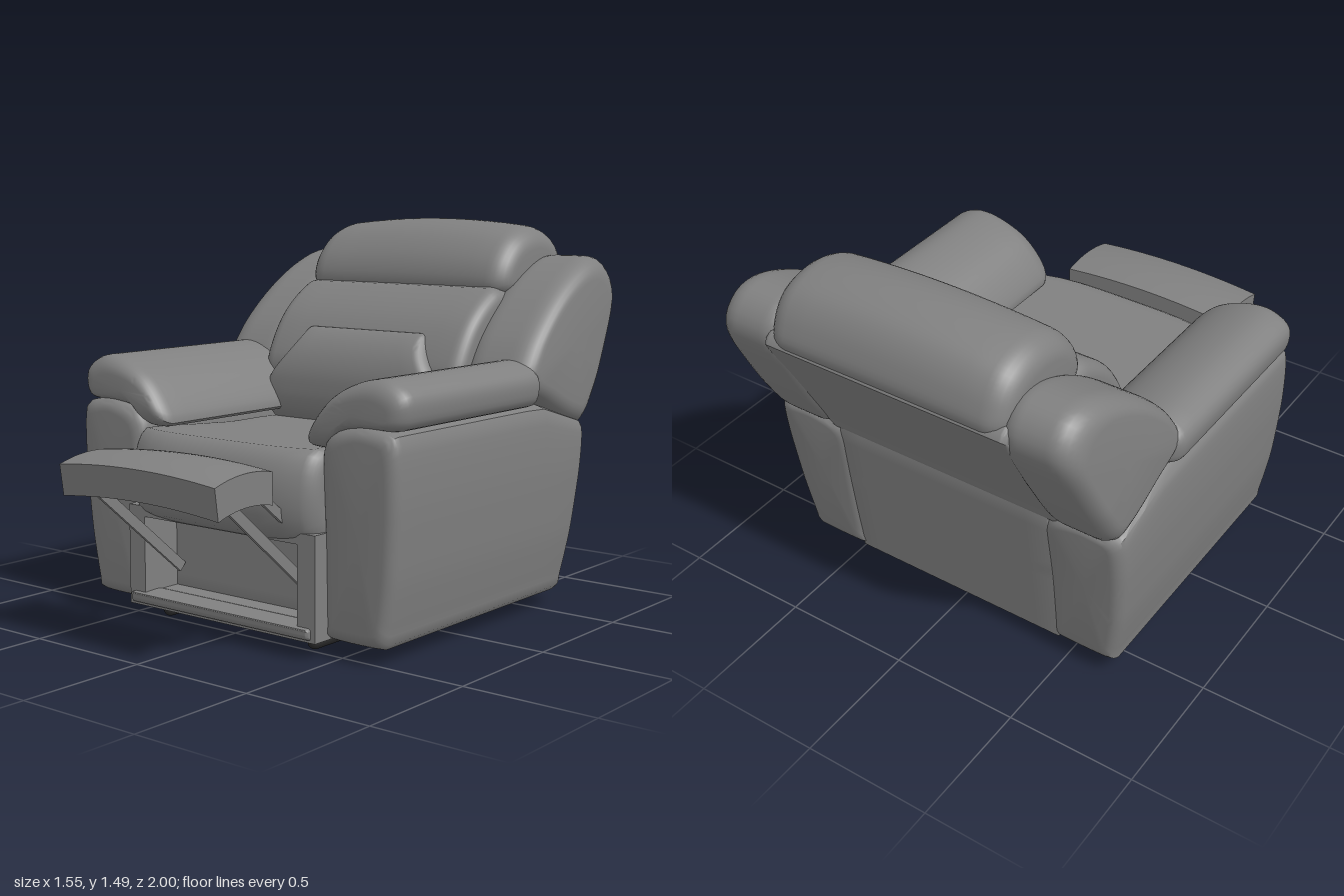
import * as THREE from 'three';
import { toCreasedNormals } from 'three/addons/utils/BufferGeometryUtils.js';

const leather = new THREE.MeshStandardMaterial({ color: 0x808080 });
leather.name = 'grey leather';
const darkMetal = new THREE.MeshStandardMaterial({ color: 0x2a2a2a });
darkMetal.name = 'dark rail';

// Padded solid: a closed profile swept along x (points are [z, y]) or z (points are [x, y]),
// with both ends rounded over by radius r and an optional warp of each vertex.
function padded(axis, pts, c0, c1, r, { tension = 0.5, crease = 0.7, warp } = {}) {
  const n = 64;
  let prof = pts.map(([p, q]) => (axis === 'x' ? [q, p] : [p, q]));
  const area = prof.reduce((s, [a, b], i) => {
    const [c, d] = prof[(i + 1) % prof.length];
    return s + a * d - c * b;
  }, 0);
  if (area < 0) prof.reverse();
  const curve = new THREE.CatmullRomCurve3(
    prof.map(([a, b]) => new THREE.Vector3(a, b, 0)), true, 'catmullrom', tension);
  const ring = curve.getSpacedPoints(n).slice(0, n);
  const box = new THREE.Box3().setFromPoints(ring);
  const mid = box.getCenter(new THREE.Vector3());
  const half = box.getSize(new THREE.Vector3()).multiplyScalar(0.5);

  // stations along the sweep: [position, inset]
  const stations = [];
  const arc = 7, span = 10;
  for (let i = 0; i <= arc; i++) {
    const t = (i / arc) * Math.PI / 2;
    stations.push([c0 + r * (1 - Math.sin(t)), r * (1 - Math.cos(t))]);
  }
  stations.reverse();
  stations.forEach((s, i) => {
    const t = (i / arc) * Math.PI / 2;
    s[0] = c0 + r * (1 - Math.sin(t));
    s[1] = r * (1 - Math.cos(Math.PI / 2 - t));
    s[1] = r * (1 - Math.sin(t));
    s[0] = c0 + r * (1 - Math.cos(t));
  });
  const ends = stations.map(([c, inset]) => [c1 - (c - c0), inset]).reverse();
  for (let i = 1; i < span; i++) stations.push([c0 + r + (c1 - c0 - 2 * r) * i / span, 0]);
  stations.push(...ends);

  const pos = [], idx = [];
  const add = (a, b, c) => {
    const v = axis === 'x' ? new THREE.Vector3(c, a, b) : new THREE.Vector3(a, b, c);
    if (warp) warp(v);
    pos.push(v.x, v.y, v.z);
  };
  for (const [c, inset] of stations) {
    for (const p of ring) {
      add(mid.x + (p.x - mid.x) * (1 - inset / half.x), mid.y + (p.y - mid.y) * (1 - inset / half.y), c);
    }
  }
  const last = (stations.length - 1) * n;
  for (let i = 0; i < stations.length - 1; i++) {
    for (let j = 0; j < n; j++) {
      const a = i * n + j, b = i * n + (j + 1) % n;
      idx.push(a, b, a + n, b, b + n, a + n);
    }
  }
  add(mid.x, mid.y, c0);
  add(mid.x, mid.y, c1);
  const k = stations.length * n;
  for (let j = 0; j < n; j++) {
    const j2 = (j + 1) % n;
    idx.push(k, j2, j, k + 1, last + j, last + j2);
  }
  const g = new THREE.BufferGeometry();
  g.setAttribute('position', new THREE.Float32BufferAttribute(pos, 3));
  g.setIndex(idx);
  return toCreasedNormals(g, crease);
}

export function createModel() {
  const model = new THREE.Group();
  model.name = 'recliner armchair';
  const put = (name, geo, mat = leather) => {
    const m = new THREE.Mesh(geo, mat);
    m.name = name;
    model.add(m);
    return m;
  };

  // Base body between the arms
  put('baseCore', padded('x', [[0.42, 0.065], [0.42, 0.5], [-0.2, 0.66], [-0.69, 0.74], [-0.705, 0.7], [-0.625, 0.065]],
    -0.46, 0.46, 0.005, { tension: 0, crease: 0.5 }));

  // Front frame around the footrest recess
  const frame = new THREE.Shape([[-0.45, 0.06], [0.45, 0.06], [0.45, 0.44], [-0.45, 0.44]]
    .map(([x, y]) => new THREE.Vector2(x, y)));
  frame.holes.push(new THREE.Path([[-0.37, 0.11], [-0.37, 0.4], [0.37, 0.4], [0.37, 0.11]]
    .map(([x, y]) => new THREE.Vector2(x, y))));
  const frameGeo = new THREE.ExtrudeGeometry(frame, { depth: 0.17, bevelEnabled: false });
  put('frontFrame', frameGeo.translate(0, 0, 0.42));
  put('frontLip', padded('x', [[0.6, 0.11], [0.61, 0.1], [0.595, 0.07], [0.5, 0.06], [0.5, 0.11]], -0.43, 0.43, 0.01));

  // Seat cushion with a rolled, bowed front
  put('seatCushion', padded('x', [[0.5, 0.725], [0.59, 0.72], [0.64, 0.65], [0.655, 0.54], [0.63, 0.44], [0.56, 0.4],
    [0.2, 0.42], [-0.3, 0.45], [-0.3, 0.67], [0.1, 0.7]], -0.445, 0.445, 0.05, {
    warp: (v) => { if (v.z > 0.3) v.z -= 0.2 * (v.z - 0.3) * Math.pow(v.x / 0.44, 4); },
  }));

  // Back rest: flat rear shell and three stacked cushions
  put('backShell', padded('x', [[-1, 1.23], [-0.96, 1.27], [-0.85, 1.25], [-0.45, 0.75], [-0.5, 0.68], [-0.7, 0.69], [-0.72, 0.73]],
    -0.5, 0.5, 0.025, { tension: 0.1 }));
  put('headCushion', padded('x', [[-0.985, 1.22], [-0.985, 1.34], [-0.91, 1.45], [-0.77, 1.49], [-0.63, 1.45], [-0.535, 1.35],
    [-0.505, 1.24], [-0.56, 1.19], [-0.8, 1.1]], -0.49, 0.49, 0.09, {
    warp: (v) => { if (v.y > 1.2) v.y -= 0.08 * (v.y - 1.2) * Math.pow(v.x / 0.4, 2); },
  }));
  put('middleCushion', padded('x', [[-0.54, 1.23], [-0.44, 1.205], [-0.32, 1.11], [-0.235, 0.98], [-0.21, 0.88],
    [-0.25, 0.72], [-0.5, 0.7], [-0.8, 1.15]], -0.485, 0.485, 0.06));
  put('lumbarCushion', padded('x', [[-0.31, 1.055], [-0.24, 1.04], [-0.175, 0.96], [-0.145, 0.85], [-0.165, 0.72],
    [-0.3, 0.64], [-0.48, 0.7], [-0.45, 0.95]], -0.43, 0.43, 0.05, {
    warp: (v) => { v.x *= 1 - 0.3 * THREE.MathUtils.smoothstep(v.y, 0.8, 1.05); },
  }));

  for (const s of [1, -1]) {
    const side = s > 0 ? 'left' : 'right';
    const flip = (pts) => pts.map(([x, y]) => [x * s, y]);

    // Arm base: tapers to the floor, leans back and drops at the rear
    put(side + 'ArmBase', padded('z', flip([[0.68, 0.06], [0.7, 0.1], [0.735, 0.3], [0.755, 0.55], [0.755, 0.72], [0.735, 0.8],
      [0.6, 0.82], [0.48, 0.79], [0.43, 0.72], [0.435, 0.4], [0.435, 0.1], [0.445, 0.06]]), -0.63, 0.55, 0.05, {
      tension: 0.35,
      warp: (v) => {
        const y = v.y;
        if (v.z < -0.35) v.y -= 0.09 * Math.min(1, (-0.35 - v.z) / 0.28) * Math.pow(y / 0.8, 3);
        if (v.z < 0) v.z *= 1 + 0.12 * y / 0.7;
        else v.z -= 0.02 * (1 - y / 0.8);
      },
    }));

    // Arm pad draped over the arm, lower on the inside
    put(side + 'ArmPad', padded('z', flip([[0.772, 0.88], [0.755, 0.94], [0.67, 0.98], [0.56, 0.965], [0.45, 0.91],
      [0.37, 0.82], [0.335, 0.74], [0.39, 0.725], [0.44, 0.735], [0.5, 0.79], [0.6, 0.805], [0.74, 0.815]]), -0.37, 0.53, 0.07));

    // Wing beside the back rest
    const ends = [0.45 * s, 0.755 * s].sort((a, b) => a - b);
    put(side + 'Wing', padded('x', [[-0.27, 0.88], [-0.33, 1.02], [-0.48, 1.17], [-0.64, 1.28], [-0.8, 1.345], [-0.92, 1.33],
      [-0.98, 1.22], [-0.9, 1.02], [-0.73, 0.73], [-0.63, 0.71], [-0.42, 0.8]], ends[0], ends[1], 0.09, {
      warp: (v) => { v.x -= 0.06 * s * Math.max(0, v.y - 0.9); },
    }));

    // Footrest struts, given as [z, y] ends and width
    for (const [z0, y0, z1, y1, w] of [[0.9, 0.58, 0.44, 0.19, 0.04], [0.75, 0.6, 0.5, 0.4, 0.035]]) {
      const strut = put(side + 'FootrestStrut', new THREE.BoxGeometry(0.014, w, Math.hypot(z1 - z0, y1 - y0)));
      strut.position.set(0.325 * s, (y0 + y1) / 2, (z0 + z1) / 2);
      strut.rotation.x = -Math.atan2(y0 - y1, z0 - z1);
    }

    // Floor rail
    const rail = put(side + 'FloorRail', new THREE.CapsuleGeometry(0.025, 0.96, 4, 12).rotateX(Math.PI / 2), darkMetal);
    rail.position.set(0.355 * s, 0.025, -0.005);
    const railTop = put(side + 'RailMount', new THREE.BoxGeometry(0.035, 0.04, 0.98), darkMetal);
    railTop.position.set(0.355 * s, 0.047, -0.005);
  }

  // Footrest: a slab arched both ways
  const slab = new THREE.BoxGeometry(0.74, 0.115, 0.285, 16, 1, 12);
  const p = slab.attributes.position;
  for (let i = 0; i < p.count; i++) {
    const x = p.getX(i) / 0.37, y = p.getY(i), z = p.getZ(i) / 0.1425;
    p.setY(i, y - 0.022 * x * x - 0.02 * z * z - 0.008 * z);
    if (y < 0) p.setZ(i, p.getZ(i) - 0.008 * (z + 1));
  }
  const footrest = put('footrest', toCreasedNormals(slab, 0.6));
  footrest.position.set(0, 0.647, 0.8575);

  return model;
}
